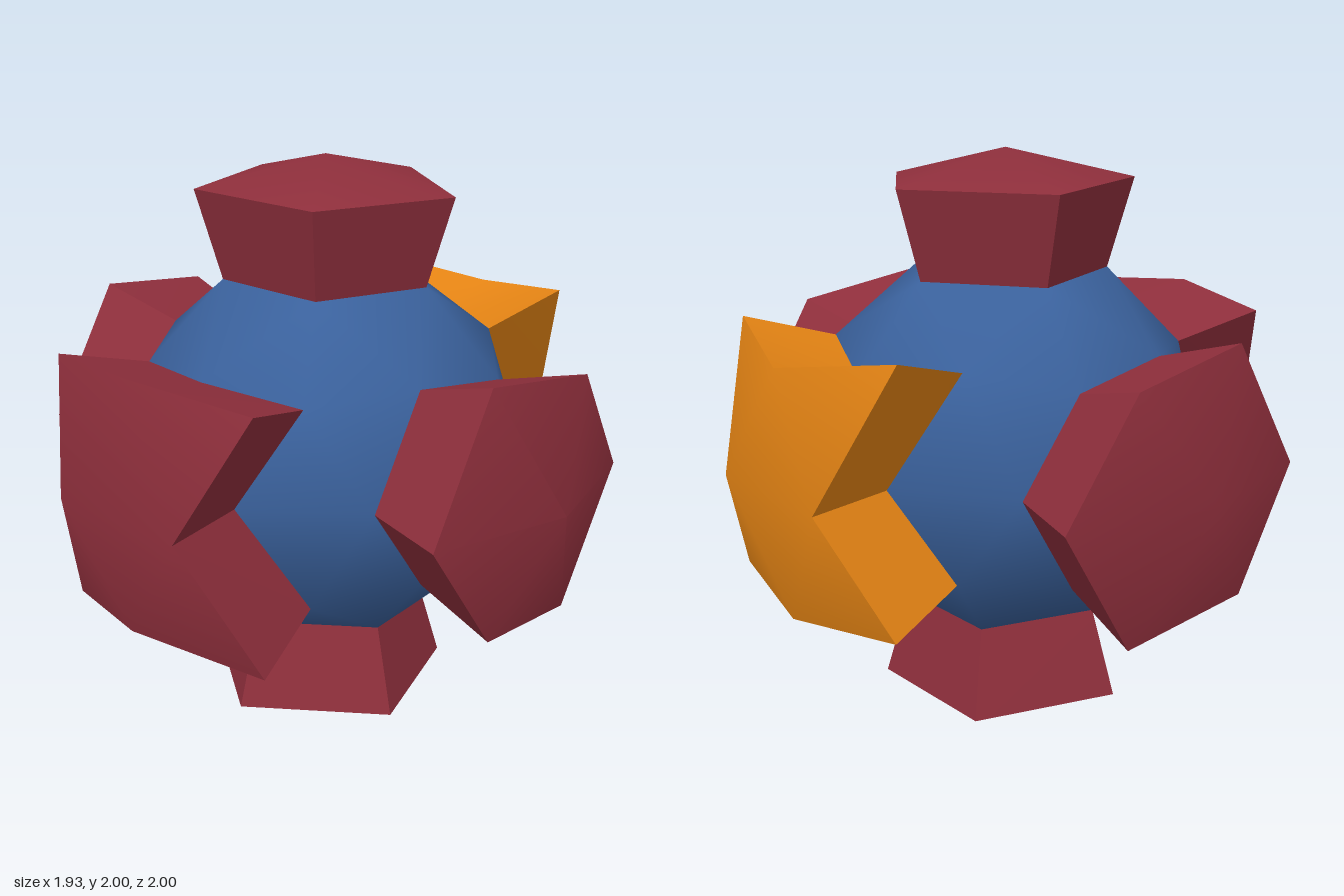
import * as THREE from 'three';
import { toCreasedNormals } from 'three/addons/utils/BufferGeometryUtils.js';
import { ConvexGeometry } from 'three/addons/geometries/ConvexGeometry.js';

const CORE_RADIUS = 0.69;
const TAPER = 0.8;

// Lift a flat outline point [x, z] onto a sphere around the origin
function onSphere([x, z], radius, scale = 1) {
  const a = x * scale, b = z * scale;
  return new THREE.Vector3(a, Math.sqrt(radius * radius - a * a - b * b), b);
}

// Block standing on the core along +y: tapered walls and a domed cap
// (a fan around the pole unless cap triangles are given)
function blockGeometry(outline, capTriangles) {
  const n = outline.length;
  const outer = outline.map(p => onSphere(p, 1));
  const inner = outline.map(p => onSphere(p, CORE_RADIUS, TAPER));
  const pole = new THREE.Vector3(0, 1, 0);
  const corners = [];
  for (let i = 0; i < n; i++) {
    const j = (i + 1) % n;
    corners.push(inner[i], inner[j], outer[j], inner[i], outer[j], outer[i]);
    if (!capTriangles) corners.push(pole, outer[i], outer[j]);
  }
  for (const t of capTriangles || []) corners.push(...t.map(k => outer[k]));
  const geometry = new THREE.BufferGeometry().setFromPoints(corners);
  geometry.computeVertexNormals();
  return toCreasedNormals(geometry, 0.6);
}

export function createModel() {
  const model = new THREE.Group();
  const body = new THREE.Group();
  body.name = 'body';
  body.position.y = 1;
  model.add(body);

  const red = new THREE.MeshStandardMaterial({ color: 0x8f2f3c });
  const orange = new THREE.MeshStandardMaterial({ color: 0xe58414 });
  const blue = new THREE.MeshStandardMaterial({ color: 0x3a619c });

  // Outlines of the three block shapes
  const pentagon = [[0.45, 0], [0.14, -0.43], [-0.35, -0.26], [-0.35, 0.26], [0.14, 0.43]];
  const hexagon = [[0.5, 0.01], [0.24, -0.38], [-0.23, -0.45], [-0.5, -0.01], [-0.24, 0.38], [0.23, 0.45]];
  const hexagonMirrored = hexagon.map(([x, z]) => [x, -z]).reverse();
  const notched = [[-0.39, 0], [-0.46, 0.44], [0.01, 0.26], [0.41, 0.44],
    [0.45, 0], [0.41, -0.44], [0.01, -0.26], [-0.46, -0.44]];
  const notchedCap = [[0, 1, 2], [2, 3, 4], [4, 5, 6], [6, 7, 0], [0, 2, 6], [4, 6, 2]];

  // Six blocks, turned to face along the axes
  const q = Math.PI / 2;
  const blocks = [
    ['topBlock', pentagon, null, red, 0, 0],
    ['bottomBlock', pentagon, null, red, 0, 2 * q],
    ['frontBlock', hexagon, null, red, q, 0],
    ['backBlock', hexagonMirrored, null, red, -q, 0],
    ['leftBlock', notched, notchedCap, orange, 0, -q],
    ['rightBlock', notched, notchedCap, red, 0, q],
  ];
  const corePoints = [];
  for (const [name, outline, cap, material, rx, rz] of blocks) {
    const mesh = new THREE.Mesh(blockGeometry(outline, cap), material);
    mesh.name = name;
    mesh.rotation.set(rx, 0, rz);
    body.add(mesh);
    for (const p of outline) {
      corePoints.push(onSphere(p, CORE_RADIUS, TAPER).applyEuler(mesh.rotation));
    }
  }

  // Faceted core through the feet of the blocks, shaded like a ball
  const coreGeometry = new ConvexGeometry(corePoints);
  const position = coreGeometry.attributes.position;
  const v = new THREE.Vector3();
  for (let i = 0; i < position.count; i++) {
    v.fromBufferAttribute(position, i).normalize();
    coreGeometry.attributes.normal.setXYZ(i, v.x, v.y, v.z);
  }
  const core = new THREE.Mesh(coreGeometry, blue);
  core.name = 'core';
  body.add(core);

  return model;
}
